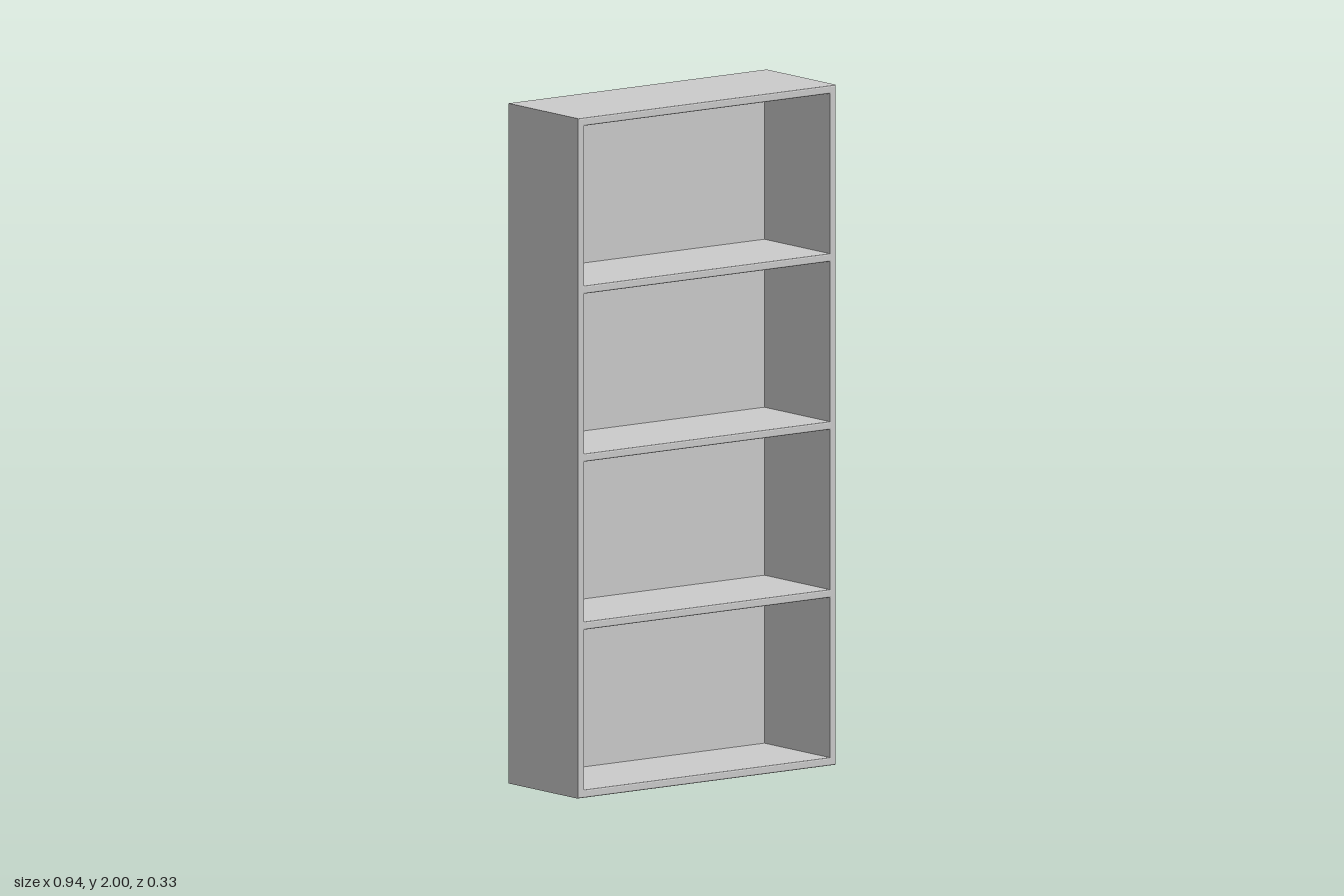
import * as THREE from 'three';

const W = 0.945, H = 2, D = 0.334;  // overall size
const T = 0.024;                    // board thickness
const B = 0.004;                    // softened edge
const BAYS = 4;

function rect(Type, x0, y0, x1, y1) {
  return new Type([[x0, y0], [x1, y0], [x1, y1], [x0, y1]].map(([x, y]) => new THREE.Vector2(x, y)));
}

// Extrudes a shape between two z planes with small bevels that stay inside the outline
function board(name, shape, z0, z1, material) {
  const geometry = new THREE.ExtrudeGeometry(shape, {
    depth: z1 - z0 - 2 * B, bevelEnabled: true, bevelSize: B, bevelThickness: B,
    bevelOffset: -B, bevelSegments: 2, steps: 1,
  });
  geometry.translate(0, 0, z0 + B);
  const mesh = new THREE.Mesh(geometry, material);
  mesh.name = name;
  return mesh;
}

export function createModel() {
  const group = new THREE.Group();
  group.name = 'bookcase';
  const material = new THREE.MeshStandardMaterial({ color: 0xcccccc });
  const back = -D / 2, front = D / 2;

  // Sides, top, bottom and shelves as one frame with an opening per bay
  const frame = rect(THREE.Shape, -W / 2, 0, W / 2, H);
  const pitch = (H - T) / BAYS;
  for (let i = 0; i < BAYS; i++) {
    frame.holes.push(rect(THREE.Path, -W / 2 + T, i * pitch + T, W / 2 - T, (i + 1) * pitch));
  }
  // The frame's rear bevel is buried in the back panel so the outer walls run through
  group.add(board('frameAndShelves', frame, back + T - 2 * B, front, material));

  // Solid back closing every bay
  group.add(board('backPanel', rect(THREE.Shape, -W / 2, 0, W / 2, H), back, back + T, material));

  return group;
}
